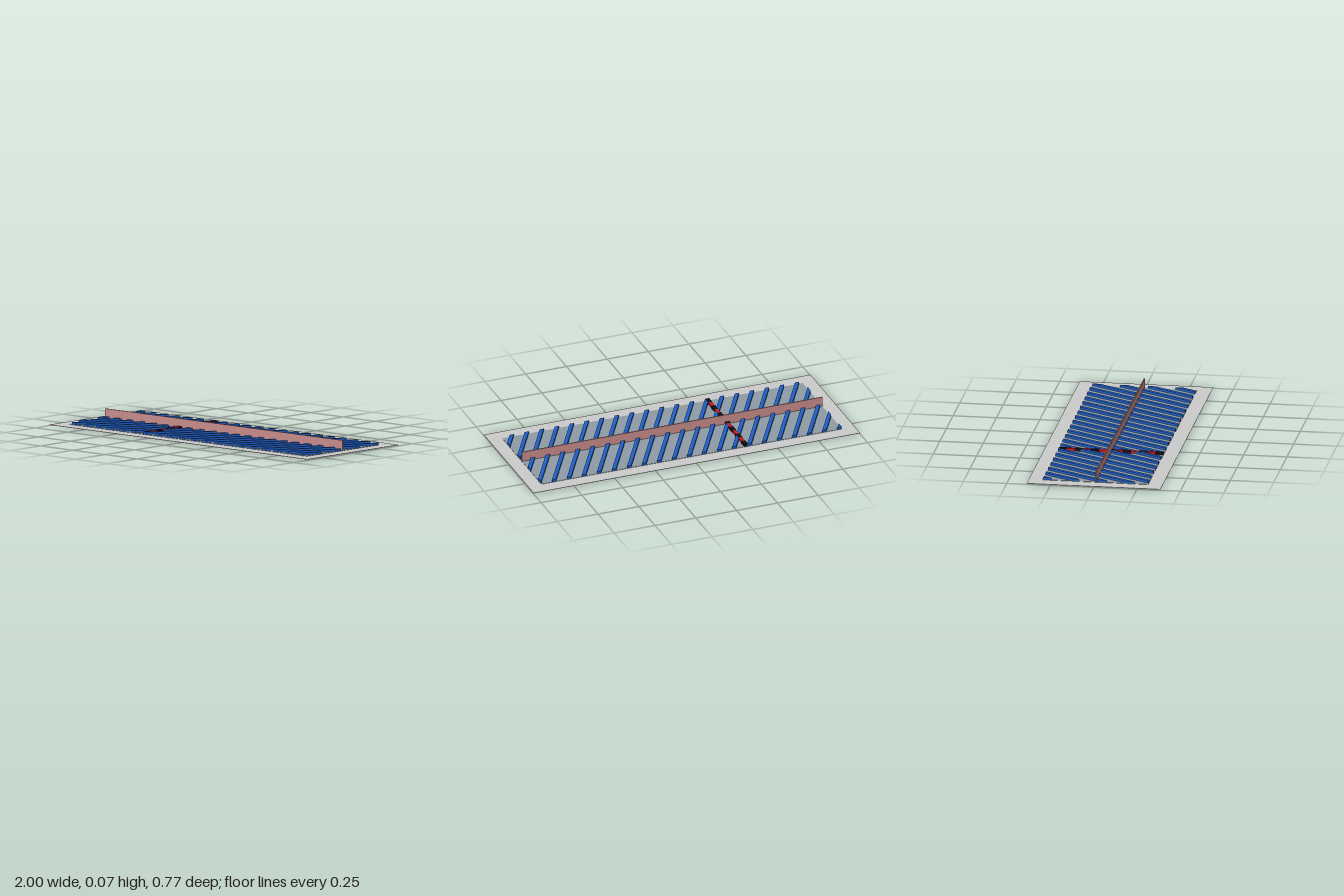
import * as THREE from 'three';

const HALF_X = 0.92, HALF_Z = 0.302;

function box(name, w, h, d, x, y, z, color) {
  const mesh = new THREE.Mesh(
    new THREE.BoxGeometry(w, h, d),
    new THREE.MeshStandardMaterial({ color })
  );
  mesh.name = name;
  mesh.position.set(x, y, z);
  return mesh;
}

// Keep the part of a polygon where side * x <= limit
function clipX(points, side, limit) {
  const out = [];
  points.forEach((a, i) => {
    const b = points[(i + 1) % points.length];
    const da = limit - side * a.x, db = limit - side * b.x;
    if (da >= 0) out.push(a);
    if (da * db < 0) out.push(a.clone().lerp(b, da / (da - db)));
  });
  return out;
}

export function createModel() {
  const model = new THREE.Group();

  // Thin ground plate and the tinted field on it
  model.add(box('groundPlate', 2, 0.002, 0.77, 0, 0.005, 0, 0xcccccc));
  model.add(box('field', HALF_X * 2, 0.005, HALF_Z * 2, 0, 0.0055, 0, 0x8f9ca6));

  // Diagonal slats, trimmed to the field
  const slats = new THREE.Group();
  slats.name = 'slats';
  const blue = new THREE.MeshStandardMaterial({ color: 0x2060c8 });
  const pitch = 0.092, half = 0.013, lean = 0.577 * HALF_Z;
  for (let i = -2; i < 23; i++) {
    const c = 0.9445 - i * pitch;
    let outline = [
      new THREE.Vector2(c - lean - half, -HALF_Z),
      new THREE.Vector2(c - lean + half, -HALF_Z),
      new THREE.Vector2(c + lean + half, HALF_Z),
      new THREE.Vector2(c + lean - half, HALF_Z),
    ];
    outline = clipX(clipX(outline, 1, HALF_X), -1, HALF_X);
    if (outline.length < 3) continue;
    const geometry = new THREE.ExtrudeGeometry(new THREE.Shape(outline), {
      depth: 0.015, bevelEnabled: false,
    });
    geometry.rotateX(-Math.PI / 2).translate(0, 0.006, 0);
    const slat = new THREE.Mesh(geometry, blue);
    slat.name = 'slat';
    slats.add(slat);
  }
  model.add(slats);

  // Long upright divider
  model.add(box('divider', HALF_X * 2, 0.061, 0.006, 0, 0.0355, 0, 0xc98c8c));

  // Dashed cross line, alternating black and red
  const crossLine = new THREE.Group();
  crossLine.name = 'crossLine';
  const count = 13, step = (HALF_Z * 2) / count;
  for (let i = 0; i < count; i++) {
    const red = i % 2 === 1;
    crossLine.add(box(red ? 'redDash' : 'blackDash', red ? 0.02 : 0.025, 0.022, step,
      -0.335, 0.011, -HALF_Z + (i + 0.5) * step, red ? 0xd01828 : 0x101010));
  }
  model.add(crossLine);

  return model;
}
